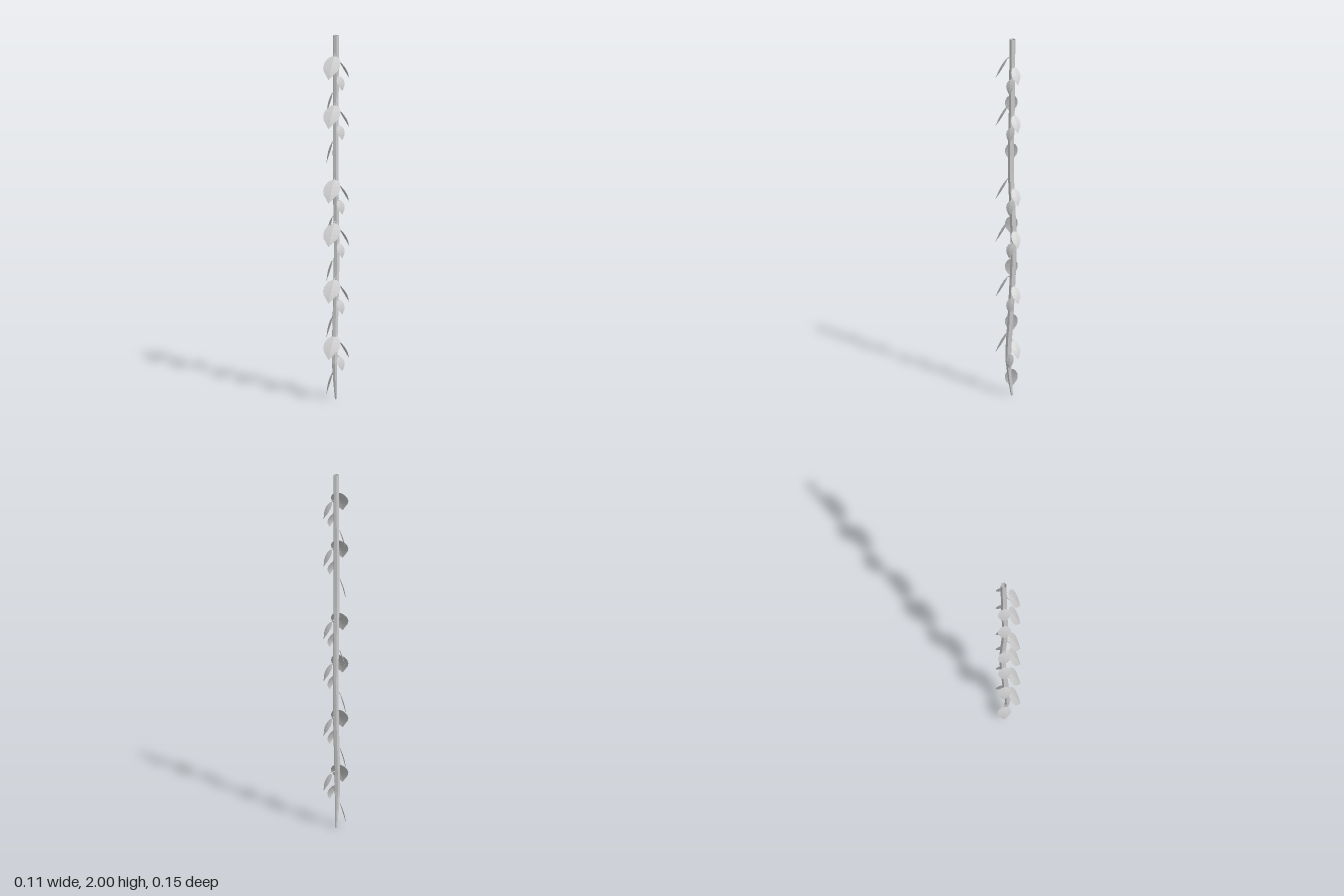
import * as THREE from 'three';

const material = new THREE.MeshStandardMaterial({ color: 0xcccccc, flatShading: true, side: THREE.DoubleSide });
const V = (x, y, z) => new THREE.Vector3(x, y, z);

// Grid of points (rows of equal length) to a surface
function surface(rows, name) {
  const n = rows[0].length, index = [];
  for (let i = 0; i < rows.length - 1; i++)
    for (let j = 0; j < n - 1; j++) {
      const a = i * n + j, b = a + n;
      index.push(a, b, a + 1, a + 1, b, b + 1);
    }
  const geometry = new THREE.BufferGeometry().setFromPoints(rows.flat());
  geometry.setIndex(index);
  geometry.computeVertexNormals();
  const mesh = new THREE.Mesh(geometry, material);
  mesh.name = name;
  return mesh;
}

// Half widths along a leaf, from the stalk to the pointed tip
const outline = [[0, 0.3], [0.1, 0.72], [0.28, 0.98], [0.48, 1], [0.66, 0.8], [0.82, 0.42], [1, 0.02]];

// Drooping leaf from base to tip, arched outwards and slightly cupped along its midrib
function leaf(name, base, tip, halfWidth, turn) {
  const axis = tip.clone().sub(base);
  const yaw = Math.atan2(axis.x, axis.z) + turn;
  const side = V(Math.cos(yaw), 0, -Math.sin(yaw));
  const out = side.clone().cross(axis).normalize();
  if (out.y < 0) out.negate();
  const rows = outline.map(([t, w]) => [-1, 0, 1].map(s =>
    base.clone().addScaledVector(axis, t)
      .addScaledVector(side, s * w * halfWidth)
      .addScaledVector(out, 0.024 * t * (1 - t) - 0.1 * halfWidth * s * s * w)));
  return surface(rows, name);
}

// Thin stalk joining a leaf to the stem
function stalk(from, to) {
  const mid = from.clone().lerp(to, 0.5).add(V(0, 0.008, 0));
  const mesh = new THREE.Mesh(new THREE.TubeGeometry(new THREE.QuadraticBezierCurve3(from, mid, to), 3, 0.0025, 4), material);
  mesh.name = 'leafStalk';
  return mesh;
}

export function createModel() {
  const group = new THREE.Group();
  group.name = 'hangingVine';

  // Six-sided wavering stem, open at the top and tapering at the bottom
  const path = new THREE.CatmullRomCurve3([
    V(-0.005, 0, -0.019), V(-0.004, 0.2, 0.002), V(-0.005, 0.4, -0.009), V(-0.004, 0.6, -0.02),
    V(-0.005, 0.82, -0.029), V(-0.005, 1.05, -0.022), V(-0.004, 1.25, -0.013), V(-0.005, 1.45, -0.015),
    V(-0.005, 1.7, -0.02), V(-0.005, 2, -0.021)]);
  const ring = (c, r) => Array.from({ length: 7 }, (_, j) =>
    V(c.x + r * Math.cos(j * Math.PI / 3), c.y, c.z - r * Math.sin(j * Math.PI / 3)));
  const rings = [ring(path.getPoint(0), 0)];
  for (let i = 0; i <= 18; i++) {
    const c = path.getPoint(i / 18);
    rings.push(ring(c, 0.006 + 0.0105 * Math.min(1, c.y / 0.22)));
  }
  group.add(surface(rings.reverse(), 'stem'));

  // Four leaves per cluster: name, base, tip, half width, turn about the vertical
  const leaves = [
    ['frontLeaf', V(-0.003, 0.05, 0.008), V(-0.008, -0.068, 0.075), 0.045, 0.36],
    ['backLeaf', V(0.016, 0.008, -0.038), V(0.049, -0.08, -0.07), 0.026, 0],
    ['leftLeaf', V(0.014, -0.065, -0.019), V(0.034, -0.142, -0.016), 0.026, -0.3],
    ['rightLeaf', V(-0.024, -0.16, -0.01), V(-0.052, -0.272, -0.001), 0.035, 0.2]];

  const samples = path.getPoints(200);
  for (const y of [1.84, 1.57, 1.16, 0.92, 0.61, 0.30]) {
    const cluster = new THREE.Group();
    cluster.name = 'leafCluster';
    cluster.position.y = y;
    for (const [name, base, tip, halfWidth, turn] of leaves) {
      cluster.add(leaf(name, base, tip, halfWidth, turn));
      const anchor = samples.find(p => p.y >= y + base.y);
      cluster.add(stalk(V(anchor.x, base.y + 0.012, anchor.z), base));
    }
    group.add(cluster);
  }
  return group;
}
